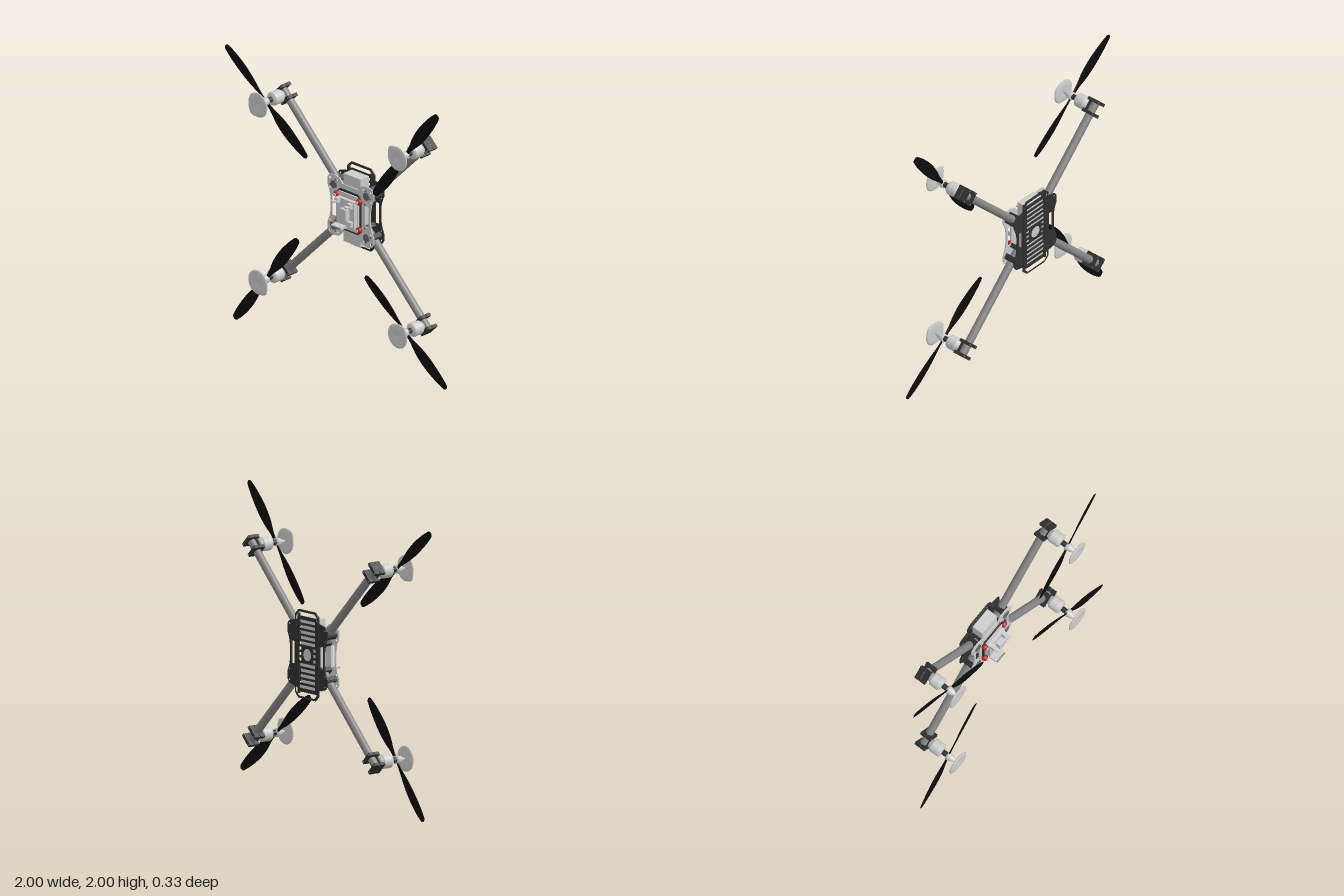
import * as THREE from 'three';
import { ParametricGeometry } from 'three/addons/geometries/ParametricGeometry.js';

const mat = (color) => new THREE.MeshStandardMaterial({ color });
const grey = mat(0xcccccc), tube = mat(0x858585), steel = mat(0x666666);
const dark = mat(0x303030), black = mat(0x0c0c0c), red = mat(0xb02820);

function add(parent, name, geometry, material, x = 0, y = 0, z = 0) {
  const mesh = new THREE.Mesh(geometry, material);
  mesh.name = name;
  mesh.position.set(x, y, z);
  parent.add(mesh);
  return mesh;
}
const box = (w, h, d) => new THREE.BoxGeometry(w, h, d);
// Cylinder and lathe standing along z, the craft's own up direction
const rod = (r, length, sides = 20) => new THREE.CylinderGeometry(r, r, length, sides).rotateX(Math.PI / 2);
const lathe = (points, sides = 32) =>
  new THREE.LatheGeometry(points.map(([r, z]) => new THREE.Vector2(r, z)), sides).rotateX(Math.PI / 2);

// Closed outline from one quadrant (top middle to right middle), mirrored twice
function mirrored(q) {
  const back = [...q].reverse();
  const pts = [...q, ...back.map(([x, y]) => [x, -y]), ...q.map(([x, y]) => [-x, -y]), ...back.map(([x, y]) => [-x, y])];
  return pts.filter(([x, y], i) => {
    const [px, py] = pts[(i + pts.length - 1) % pts.length];
    return Math.hypot(x - px, y - py) > 1e-6;
  }).map(([x, y]) => new THREE.Vector2(x, y));
}
const chamfered = (w, h, c) => mirrored([[w - c, h], [w, h - c]]);
const circle = (x, y, r) => new THREE.Path().absarc(x, y, r, 0, Math.PI * 2);
const rect = (x0, y0, x1, y1) => new THREE.Path([[x0, y0], [x1, y0], [x1, y1], [x0, y1]].map((p) => new THREE.Vector2(...p)));
function plate(outline, holes, depth) {
  const shape = new THREE.Shape(outline);
  shape.holes.push(...holes);
  return new THREE.ExtrudeGeometry(shape, { depth, bevelEnabled: false, curveSegments: 8 });
}
const loop = (w, h, c, bar, depth) =>
  plate(chamfered(w, h, c), [new THREE.Path(chamfered(w - bar, h - bar, c - bar * 0.4))], depth);

// Twisted two-blade propeller, spin is +1 or -1
function propeller(spin) {
  const R = 0.466;
  const chord = new THREE.SplineCurve([[0, 0.022], [0.07, 0.032], [0.16, 0.07], [0.26, 0.085], [0.37, 0.073], [0.44, 0.05], [0.46, 0.034], [R, 0.004]]
    .map((p) => new THREE.Vector2(...p)));
  return new ParametricGeometry((u, v, out) => {
    const side = u < 0.5 ? -1 : 1;
    const { x: r, y: c } = chord.getPoint(Math.abs(u - 0.5) * 2);
    const a = -v * Math.PI * 2;
    const y = Math.cos(a) * c / 2 + side * spin * 0.005 * Math.sin(r / R * Math.PI);
    const t = Math.sin(a) * (0.005 - 0.0035 * r / R);
    const pitch = side * spin * 0.24 * (1 - r / R);
    out.set(side * r, y * Math.cos(pitch) - t * Math.sin(pitch), y * Math.sin(pitch) + t * Math.cos(pitch));
  }, 56, 14);
}

// Dished disc with one pointed lobe
function dishedCap() {
  const g = lathe([[0, -0.005], [0.05, -0.008], [0.078, -0.006], [0.086, 0.001], [0.078, 0.008], [0.05, 0.009], [0.022, 0.004], [0, 0]], 40);
  const p = g.attributes.position;
  for (let i = 0; i < p.count; i++) {
    const x = p.getX(i), y = p.getY(i);
    const k = 1 + 0.16 * Math.max(0, 1 - Math.abs(Math.atan2(y, x)) / 0.6) * Math.min(1, Math.hypot(x, y) / 0.08);
    p.setXY(i, x * k, y * k);
  }
  g.computeVertexNormals();
  return g;
}

// Arm with clamps, motor and propeller, built along +x of its own group
function buildArm(angle, spin, propAngle, lobeAngle) {
  const arm = new THREE.Group();
  arm.name = 'armAssembly';
  arm.rotation.z = angle;
  const reach = 0.628 * Math.SQRT2, z = -0.107;
  add(arm, 'armTube', new THREE.CylinderGeometry(0.027, 0.027, 0.81, 20).rotateZ(Math.PI / 2), tube, 0.535, 0, z);
  for (const x of [0.15, 0.225]) {
    add(arm, 'bodyClamp', box(0.03, 0.08, 0.084), dark, x, 0, z);
    for (const s of [-1, 1]) add(arm, 'clampBolt', rod(0.007, 0.1, 8), steel, x, s * 0.032, z);
  }

  // Motor mount: two split clamps set across the tube, joined by long screws
  const mount = new THREE.Group();
  mount.name = 'motorMount';
  mount.position.set(reach, 0, z);
  arm.add(mount);
  for (const x of [-0.042, 0.042]) {
    for (const s of [-1, 1]) {
      add(mount, 'clampHalf', box(0.022, 0.096, 0.039), dark, x, 0, s * 0.0215);
      add(mount, 'clampScrew', rod(0.006, 0.09, 8), steel, x, s * 0.038, 0);
    }
  }
  add(mount, 'motorSeat', box(0.07, 0.05, 0.012), dark, 0, 0, 0.032);

  // Motor and its shaft
  add(arm, 'motor', lathe([[0, -0.07], [0.032, -0.07], [0.032, -0.054], [0.044, -0.05], [0.047, -0.044],
    [0.047, -0.012], [0.044, -0.01], [0.047, -0.008], [0.047, 0.018], [0.04, 0.027], [0.024, 0.033], [0, 0.033]]), grey, reach, 0, 0);
  add(arm, 'propShaft', rod(0.018, 0.045), dark, reach, 0, 0.052);
  add(arm, 'propeller', propeller(spin), black, reach, 0, 0.077).rotation.z = propAngle - angle;
  add(arm, 'spinner', lathe([[0, 0.07], [0.028, 0.07], [0.029, 0.085], [0.022, 0.11], [0.01, 0.135], [0.005, 0.15], [0, 0.15]], 24), grey, reach, 0, 0);
  add(arm, 'dishedCap', dishedCap(), grey, reach, 0, 0.154).rotation.z = lobeAngle - angle;
  return arm;
}

function buildBody() {
  const body = new THREE.Group();
  body.name = 'body';
  const corners = [[1, 1], [-1, 1], [-1, -1], [1, -1]];
  const edge = [[0.15, 0.215], [0.19, 0.205], [0.207, 0.18], [0.207, 0.135], [0.188, 0.09], [0.178, 0.04], [0.178, 0]];
  const sideSlots = () => [-1, 1].map((s) => rect(s * 0.147 - 0.017, -0.075, s * 0.147 + 0.017, 0.075));
  const smallHoles = () => corners.flatMap(([x, y]) => [circle(x * 0.185, y * 0.185, 0.009), circle(x * 0.115, y * 0.185, 0.007), circle(x * 0.185, y * 0.115, 0.007)]);

  add(body, 'topPlate', plate(mirrored([[0, 0.17], [0.07, 0.17], [0.1, 0.205], ...edge]), [...sideSlots(), ...smallHoles()], 0.008), grey, 0, 0, -0.066);

  // Bottom plate: ladder of slots around a round centre
  const slots = [];
  for (let i = -6; i <= 6; i++) {
    const y = i * 0.036;
    if (Math.abs(i) > 1) slots.push(rect(-0.085, y - 0.011, 0.085, y + 0.011));
    else for (const s of [-1, 1]) slots.push(rect(s * 0.073 - 0.015, y - 0.011, s * 0.073 + 0.015, y + 0.011));
  }
  add(body, 'bottomPlate', plate(mirrored([[0, 0.25], [0.09, 0.25], [0.105, 0.225], ...edge]),
    [...slots, circle(0, 0, 0.042), ...sideSlots(), ...smallHoles()], 0.008), dark, 0, 0, -0.162);
  add(body, 'bottomHub', rod(0.04, 0.012, 24), grey, 0, 0, -0.155);
  add(body, 'endHoops', loop(0.124, 0.292, 0.035, 0.014, 0.009), dark, 0, 0, -0.165);
  add(body, 'battery', box(0.155, 0.48, 0.08), grey, 0, 0, -0.113);
  for (const s of [-1, 1]) for (const t of [-1, 1])
    add(body, 'hoopStrut', box(0.012, 0.07, 0.014), dark, s * 0.1, t * 0.23, -0.15);

  for (const [x, y] of corners) {
    add(body, 'cornerCap', rod(0.027, 0.012), steel, x * 0.147, y * 0.147, -0.056);
    add(body, 'plateSpacer', rod(0.009, 0.095, 10), dark, x * 0.19, y * 0.15, -0.11);
    add(body, 'damperBall', new THREE.SphereGeometry(0.022, 18, 12), red, x * 0.1, y * 0.1, -0.036);
    add(body, 'damperPin', rod(0.01, 0.05, 10), grey, x * 0.1, y * 0.1, -0.034);
  }

  // Flight controller on its damped frame
  add(body, 'damperFrame', loop(0.107, 0.141, 0.025, 0.012, 0.01), dark, 0, 0, -0.052);
  add(body, 'controllerBoard', box(0.17, 0.255, 0.014), grey, 0, 0, -0.042);
  add(body, 'controllerCase', box(0.16, 0.19, 0.03), grey, 0, 0, -0.025);
  add(body, 'processor', box(0.055, 0.075, 0.04), grey, 0.01, 0.003, 0.006);
  add(body, 'pinHeader', box(0.09, 0.016, 0.06), grey, -0.035, -0.095, 0.012);
  for (let i = 0; i < 8; i++) add(body, 'pin', box(0.005, 0.005, 0.012), steel, -0.072 + i * 0.0105, -0.095, 0.046);
  add(body, 'socket', box(0.04, 0.035, 0.03), grey, 0.05, -0.06, 0);
  for (const [x, y] of [[-0.06, 0.08], [0.055, 0.07]]) {
    add(body, 'plug', box(0.03, 0.035, 0.035), grey, x, y, 0.002);
    add(body, 'plugTab', box(0.03, 0.008, 0.03), grey, x, y, 0.033);
  }
  return body;
}

export function createModel() {
  const model = new THREE.Group();
  model.name = 'quadcopter';
  const craft = new THREE.Group();
  craft.name = 'craft';
  craft.position.y = 1.005;
  model.add(craft);
  craft.add(buildBody());
  // Arm direction, spin, blade angle and cap lobe angle in degrees
  for (const [angle, spin, blade, lobe] of [[45, 1, 51.8, 140], [135, -1, 141.7, 228], [225, 1, 51.8, 318], [315, -1, 141.7, 50]]) {
    const d = THREE.MathUtils.degToRad;
    craft.add(buildArm(d(angle), spin, d(blade), d(lobe)));
  }
  return model;
}
